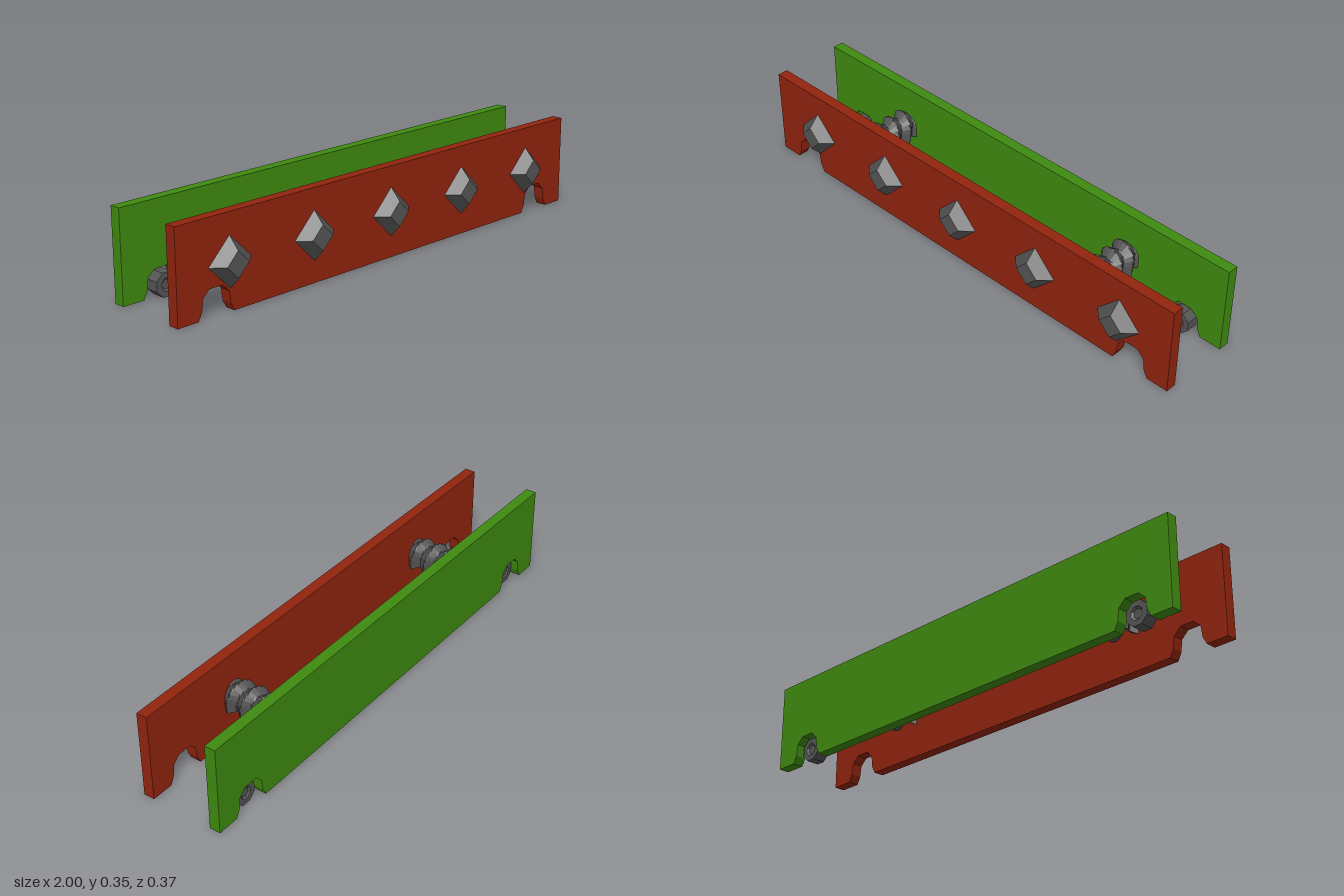
import * as THREE from 'three';

const mat = (name, color, extra = {}) => {
  const m = new THREE.MeshStandardMaterial({ color, ...extra });
  m.name = name;
  return m;
};

export function createModel() {
  const red = mat('red paint', 0x92240e);
  const green = mat('green paint', 0x3f8a10);
  const steel = mat('dark steel', 0x555555, { flatShading: true });
  const model = new THREE.Group();
  const add = (name, geometry, material, x = 0, y = 0, z = 0) => {
    const mesh = new THREE.Mesh(geometry, material);
    mesh.name = name;
    mesh.position.set(x, y, z);
    model.add(mesh);
    return mesh;
  };

  // Long side plates with an arch cut into the lower edge near each end
  const T = 0.043, H = 0.348, AX = 0.835;
  const arch = [[-0.077, 0], [-0.062, 0.03], [-0.056, 0.075], [-0.028, 0.102],
    [0.028, 0.102], [0.056, 0.075], [0.062, 0.03], [0.077, 0]];
  const plate = new THREE.Shape();
  plate.moveTo(-1, 0);
  for (const cx of [-AX, AX]) for (const [x, y] of arch) plate.lineTo(cx + x, y);
  plate.lineTo(1, 0);
  plate.lineTo(1, H);
  plate.lineTo(-1, H);
  const plateGeo = new THREE.ExtrudeGeometry(plate, { depth: T, bevelEnabled: false });
  add('frontPlate', plateGeo, red, 0, 0, 0.101);
  add('backPlate', plateGeo, green, 0, 0, -0.187);

  // Diamond studs: four-sided frusta on the front plate
  const studGeo = new THREE.CylinderGeometry(0.048, 0.093, T, 4);
  studGeo.rotateX(Math.PI / 2);
  for (let i = -2; i <= 2; i++) add('stud', studGeo, steel, i * 0.386, 0.175, 0.144 + T / 2);

  // Octagonal rollers with a recessed hub at both ends
  const rollerProfile = [[0, -0.02], [0.018, -0.02], [0.026, -0.026], [0.048, -0.026],
    [0.048, 0.026], [0.026, 0.026], [0.018, 0.02], [0, 0.02]];
  const rollerGeo = new THREE.LatheGeometry(rollerProfile.map(p => new THREE.Vector2(...p)), 8);
  rollerGeo.rotateY(Math.PI / 8);
  rollerGeo.rotateX(Math.PI / 2);
  for (const s of [-1, 1]) add('roller', rollerGeo, steel, s * AX, 0.046, -0.139);

  // Ribbed spacer bars joining the plates, open underneath
  const ribGeo = spacerGeometry();
  for (const s of [-1, 1]) add('ribbedSpacer', ribGeo, steel, s * 0.57, 0.188, 0);
  return model;
}

// Inverted-U section swept along z, its outer skin rippled like a thread
function spacerGeometry() {
  const z0 = 0.101, z1 = -0.144, pitch = 0.06, rings = 49, arc = 12;
  const sweep = 1.28 * Math.PI, start = -0.14 * Math.PI;
  const N = 2 * (arc + 1), pos = [], index = [];
  for (let k = 0; k < rings; k++) {
    const z = z0 + (z1 - z0) * k / (rings - 1);
    for (let i = 0; i < N; i++) {
      const outer = i <= arc;
      const t = (outer ? i : N - 1 - i) / arc;
      const a = start + sweep * t;
      const phase = (z - 0.063) / pitch + (a - Math.PI / 2) / (2 * Math.PI);
      const wave = Math.abs(2 * (phase - Math.floor(phase)) - 1);
      const r = outer ? 0.038 + 0.026 * wave : 0.03;
      // the two lower ends hang down as legs
      const drop = t === 0 || t === 1 ? 0.026 : 0;
      pos.push(r * Math.cos(a), r * Math.sin(a) - drop, z);
    }
  }
  for (let k = 0; k < rings - 1; k++) {
    for (let i = 0; i < N; i++) {
      const a = k * N + i, b = k * N + (i + 1) % N;
      index.push(a, a + N, b, b, a + N, b + N);
    }
  }
  // end caps
  const last = (rings - 1) * N;
  for (let i = 0; i < arc; i++) {
    const j = N - 1 - i;
    index.push(i, i + 1, j, i + 1, j - 1, j);
    index.push(last + i, last + j, last + i + 1, last + i + 1, last + j, last + j - 1);
  }
  const g = new THREE.BufferGeometry();
  g.setAttribute('position', new THREE.Float32BufferAttribute(pos, 3));
  g.setIndex(index);
  g.computeVertexNormals();
  return g;
}
